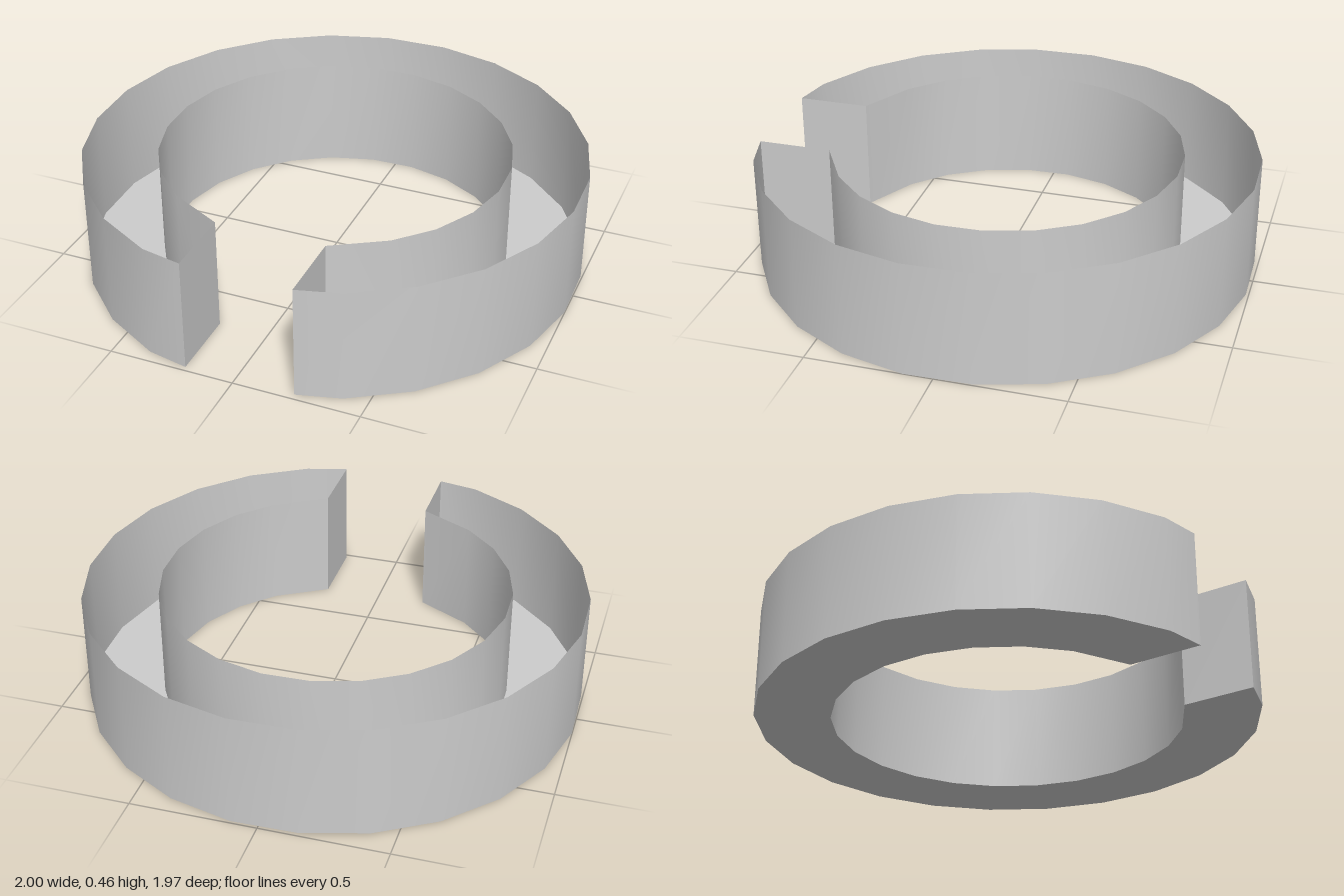
import * as THREE from 'three';

const HEIGHT = 0.46;
const CENTRE_Z = 0.01;
const STEP = 15; // degrees per side, 24-sided circle
const OFFSET = 6.2;

// Points of a broken ring: left gap edge, round the back, right gap edge
function arc(radius, first, last, startPoint, endPoint) {
  const points = [new THREE.Vector2(...startPoint)];
  for (let k = first; k <= last; k++) {
    const a = THREE.MathUtils.degToRad(OFFSET + STEP * k);
    points.push(new THREE.Vector2(radius * Math.sin(a), CENTRE_Z - radius * Math.cos(a)));
  }
  points.push(new THREE.Vector2(...endPoint));
  return points;
}

// Upright ribbon along a plan path, smooth along its length
function wallGeometry(path) {
  const positions = [];
  const index = [];
  path.forEach((p, i) => {
    positions.push(p.x, 0, p.y, p.x, HEIGHT, p.y);
    if (i > 0) {
      const b = 2 * i;
      index.push(b - 2, b, b + 1, b - 2, b + 1, b - 1);
    }
  });
  const geometry = new THREE.BufferGeometry();
  geometry.setAttribute('position', new THREE.Float32BufferAttribute(positions, 3));
  geometry.setIndex(index);
  geometry.computeVertexNormals();
  return geometry;
}

export function createModel() {
  const group = new THREE.Group();
  group.name = 'openRingTrough';
  const material = new THREE.MeshStandardMaterial({ color: 0xcccccc, side: THREE.DoubleSide });

  const add = (name, geometry) => {
    const mesh = new THREE.Mesh(geometry, material);
    mesh.name = name;
    group.add(mesh);
  };

  const outer = arc(1.005, -11, 10, [-0.2, 0.98], [0.235, 0.975]);
  const inner = arc(0.703, -10, 9, [-0.2, 0.69], [0.235, 0.68]);

  // Curved walls
  add('outerWall', wallGeometry([...outer].reverse()));
  add('innerWall', wallGeometry(inner));

  // Flat walls either side of the gap
  add('rightEndWall', wallGeometry([outer[0], inner[0]]));
  add('leftEndWall', wallGeometry([inner.at(-1), outer.at(-1)]));

  // Floor; the top stays open
  const floor = new THREE.ShapeGeometry(new THREE.Shape([...outer, ...[...inner].reverse()]));
  floor.rotateX(Math.PI / 2);
  add('floor', floor);

  return group;
}
